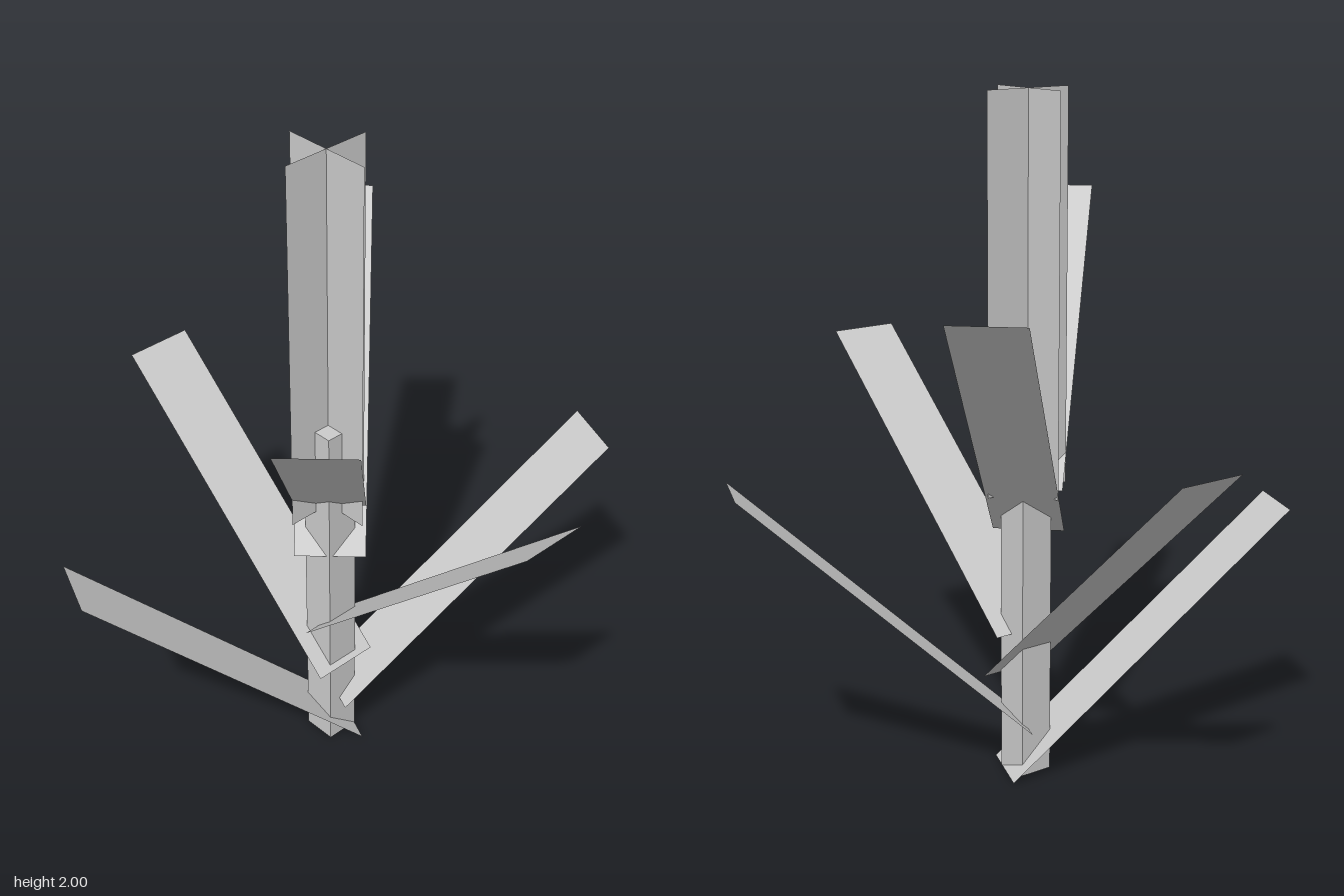
import * as THREE from 'three';

const LENGTH = 1.14;   // shared by stem, leaves and top shoot
const LEAF_WIDTH = 0.21;
const LEAF_TILT = THREE.MathUtils.degToRad(47.4);   // lean away from vertical

export function createModel() {
  const model = new THREE.Group();
  const stemMaterial = new THREE.MeshStandardMaterial({ color: 0xcccccc, flatShading: true });
  const leafMaterial = new THREE.MeshStandardMaterial({ color: 0xcccccc, side: THREE.DoubleSide });

  const add = (name, geometry, material, x, y, z) => {
    const mesh = new THREE.Mesh(geometry, material);
    mesh.name = name;
    mesh.position.set(x, y, z);
    model.add(mesh);
    return mesh;
  };

  // Square stem
  add('stem', new THREE.BoxGeometry(0.103, LENGTH, 0.103), stemMaterial, -0.033, LENGTH / 2, 0.033);

  // Flat leaves, hinged at the middle of their lower edge: base x, y, z and heading in degrees
  const leafGeometry = new THREE.PlaneGeometry(LEAF_WIDTH, LENGTH).translate(0, LENGTH / 2, 0);
  const leaves = [
    ['frontLowerLeaf', -0.013, 0, -0.03, -22.5],
    ['backLowerLeaf', -0.033, 0.145, 0.025, 157.5],
    ['rightMiddleLeaf', 0.033, 0.29, 0.033, -90],
    ['leftMiddleLeaf', -0.033, 0.43, 0.033, 90],
    ['backUpperLeaf', 0.013, 0.72, 0.078, -135],
    ['frontUpperLeaf', -0.033, 0.86, 0.033, 45],
  ];
  for (const [name, x, y, z, heading] of leaves) {
    const leaf = add(name, leafGeometry, leafMaterial, x, y, z);
    leaf.rotation.set(LEAF_TILT, THREE.MathUtils.degToRad(heading), 0, 'YXZ');
  }

  // Upright shoot of two crossed planes
  const shootGeometry = new THREE.PlaneGeometry(0.282, LENGTH);
  add('topShootAcross', shootGeometry, leafMaterial, -0.038, 2 - LENGTH / 2, 0.034);
  add('topShootAlong', shootGeometry, leafMaterial, -0.038, 2 - LENGTH / 2, 0.034).rotation.y = Math.PI / 2;

  return model;
}
